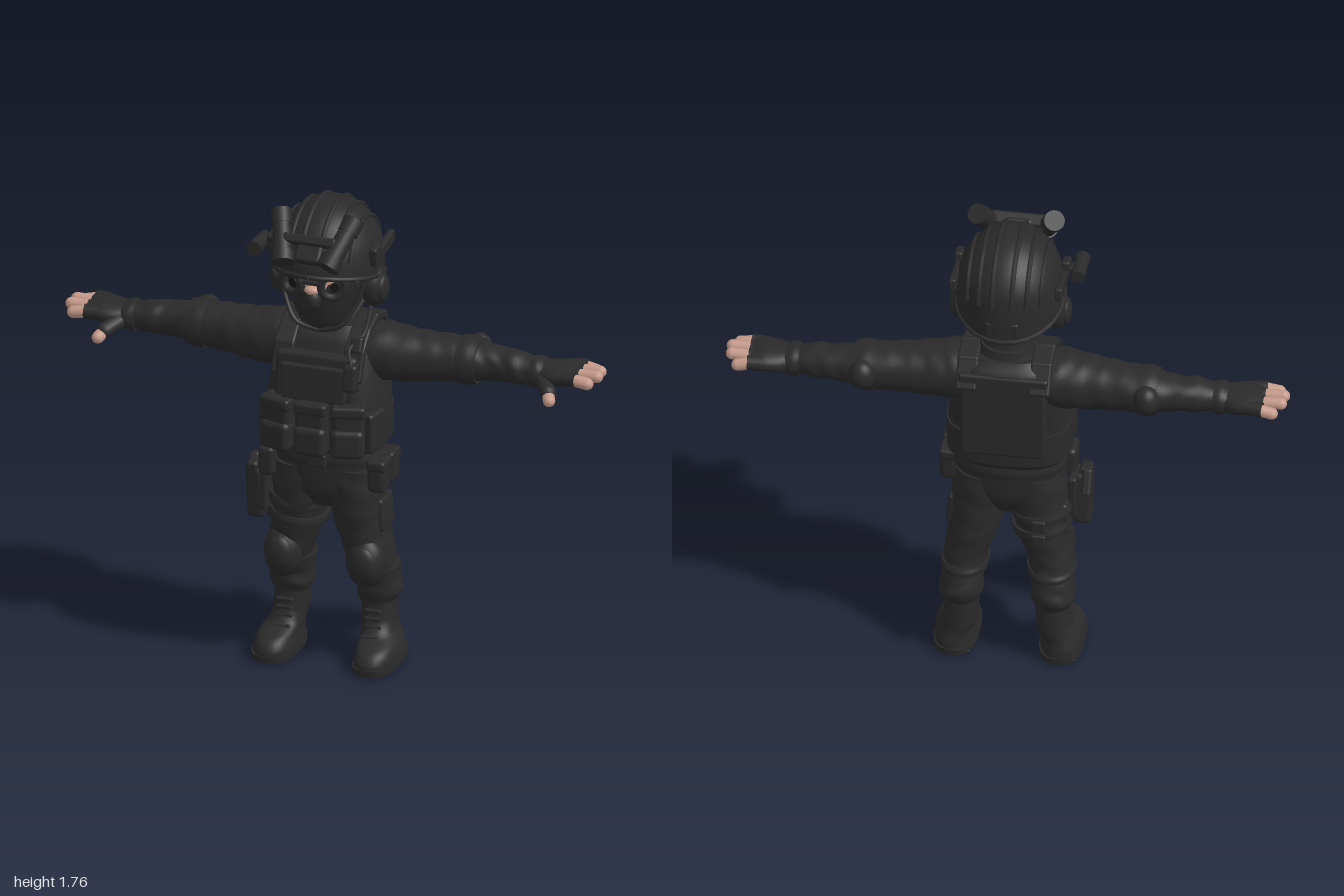
import * as THREE from 'three';
import { mergeVertices } from 'three/addons/utils/BufferGeometryUtils.js';
import { RoundedBoxGeometry } from 'three/addons/geometries/RoundedBoxGeometry.js';

const V = (x, y, z) => new THREE.Vector3(x, y, z);
const paint = (name, color) => Object.assign(new THREE.MeshStandardMaterial({ color }), { name });

// Loft of superellipse rings. Rows: [t, centreA, centreB, radiusA, radiusB] along 'y' (A=x, B=z) or 'x' (A=y, B=z)
function loft(axis, rows, { n = 2.2, folds = 0, sides = 36, steps = 4 } = {}) {
  const pos = [], idx = [], rings = [];
  const mix = (i, s, k) => {
    const r = j => rows[Math.min(Math.max(j, 0), rows.length - 1)][k];
    if (k === 0) return r(i) + (r(i + 1) - r(i)) * s;
    const m0 = (r(i + 1) - r(i - 1)) / 2, m1 = (r(i + 2) - r(i)) / 2, s2 = s * s, s3 = s2 * s;
    return (2 * s3 - 3 * s2 + 1) * r(i) + (s3 - 2 * s2 + s) * m0 + (3 * s2 - 2 * s3) * r(i + 1) + (s3 - s2) * m1;
  };
  for (let i = 0; i < rows.length - 1; i++)
    for (let s = 0; s < steps; s++) rings.push([0, 1, 2, 3, 4].map(k => mix(i, s / steps, k)));
  rings.push(rows[rows.length - 1]);
  const bend = v => Math.sign(v) * Math.abs(v) ** (2 / n);
  const ring = ([t, a, b, ra, rb]) => {
    for (let j = 0; j < sides; j++) {
      const q = j / sides * Math.PI * 2, f = 1 + folds * Math.sin(t * 75 + 2 * Math.sin(q * 2 + t * 9));
      const c = bend(Math.cos(q)) * f, s = bend(Math.sin(q)) * f;
      if (axis === 'y') pos.push(a + ra * c, t, b + rb * s);
      else pos.push(t, a + ra * s, b + rb * c);
    }
  };
  rings.forEach(ring);
  for (let i = 0; i < rings.length - 1; i++)
    for (let j = 0; j < sides; j++) {
      const k = (j + 1) % sides, a = i * sides + j, b = i * sides + k, c = a + sides, d = b + sides;
      idx.push(a, c, b, b, c, d);
    }
  // End caps with their own corners, so the ends stay crisp
  [rings[0], rings[rings.length - 1]].forEach((r, end) => {
    const o = pos.length / 3;
    ring(r);
    pos.push(...(axis === 'y' ? [r[1], r[0], r[2]] : [r[0], r[1], r[2]]));
    for (let j = 0; j < sides; j++) {
      const k = (j + 1) % sides;
      idx.push(o + sides, o + (end ? k : j), o + (end ? j : k));
    }
  });
  const g = new THREE.BufferGeometry();
  g.setAttribute('position', new THREE.Float32BufferAttribute(pos, 3));
  g.setIndex(idx);
  g.computeVertexNormals();
  return g;
}
const place = (g, x, y, z, rx = 0, ry = 0, rz = 0) =>
  g.applyMatrix4(new THREE.Matrix4().makeRotationFromEuler(new THREE.Euler(rx, ry, rz)).setPosition(x, y, z));
const box = (w, h, d, x, y, z, rx, ry, rz) =>
  place(new RoundedBoxGeometry(w, h, d, 3, Math.min(w, h, d) * 0.3), x, y, z, rx, ry, rz);
const ball = (rx, ry, rz, x, y, z) => new THREE.SphereGeometry(1, 24, 16).scale(rx, ry, rz).translate(x, y, z);
const along = (g, a, b) => {
  const q = new THREE.Quaternion().setFromUnitVectors(V(0, 1, 0), b.clone().sub(a).normalize());
  return g.applyQuaternion(q).translate(...a.clone().add(b).multiplyScalar(0.5).toArray());
};
const capsule = (a, b, r) => along(new THREE.CapsuleGeometry(r, a.distanceTo(b), 6, 14), a, b);
const rod = (a, b, r, r2 = r) => along(new THREE.CylinderGeometry(r2, r, a.distanceTo(b), 20), a, b);
const cord = (pts, r) => new THREE.TubeGeometry(new THREE.CatmullRomCurve3(pts), 28, r, 8);

function mirrored(geo) {
  const g = geo.index ? geo.clone() : mergeVertices(geo);
  g.scale(-1, 1, 1);
  const a = g.index.array;
  for (let i = 0; i < a.length; i += 3) [a[i], a[i + 1]] = [a[i + 1], a[i]];
  return g;
}

export function createModel() {
  const root = new THREE.Group();
  root.name = 'tacticalFigure';
  const black = paint('blackCloth', 0x2a2a2a), skin = paint('skin', 0xc49a8a), dark = paint('darkLens', 0x161616);
  const shell = paint('helmetBlack', 0x2a2a2a);
  shell.side = THREE.DoubleSide;
  const add = (name, geo, mat = black) => {
    const m = new THREE.Mesh(geo, mat);
    m.name = name;
    root.add(m);
  };
  const pair = (name, geo, mat) => { add(name + 'Left', geo, mat); add(name + 'Right', mirrored(geo), mat); };

  // Head in a balaclava with the eye opening
  add('head', loft('y', [[1.29, 0, 0.02, 0.055, 0.06], [1.33, 0, 0.01, 0.09, 0.105], [1.4, 0, 0, 0.12, 0.137],
    [1.5, 0, -0.01, 0.148, 0.155], [1.62, 0, -0.02, 0.14, 0.15]]));
  add('eyeOpening', new THREE.CylinderGeometry(1, 0.97, 0.065, 28, 1, true, -0.85, 1.7)
    .scale(0.152, 1, 0.16).translate(0, 1.493, -0.01), skin);
  add('maskNose', ball(0.03, 0.04, 0.03, 0, 1.43, 0.14));
  add('noseBridge', ball(0.026, 0.016, 0.02, 0, 1.472, 0.152), skin);
  pair('goggleRim', place(new THREE.TorusGeometry(0.042, 0.014, 10, 28), 0.075, 1.493, 0.143, 0, 0.42));
  pair('eye', place(new THREE.CylinderGeometry(0.017, 0.017, 0.006, 16), 0.078, 1.485, 0.132, Math.PI / 2, 0, -0.45), dark);
  pair('goggleArm', box(0.012, 0.03, 0.13, 0.142, 1.5, 0.06, 0, 0.22));
  add('goggleBridge', box(0.07, 0.016, 0.02, 0, 1.505, 0.16));

  // Helmet shell, its rim dipping toward the sides and back
  const cz = -0.035, hy = 1.53, R = V(0.19, 0.222, 0.222);
  const helmet = new THREE.SphereGeometry(1, 48, 24, 0, Math.PI * 2, 0, Math.PI / 2);
  const p = helmet.attributes.position;
  for (let i = 0; i < p.count; i++) {
    const x = p.getX(i), y = p.getY(i), z = p.getZ(i), drop = 0.045 - 0.05 * z;
    const low = Math.max(0, 1 - y * 2.5);
    p.setXYZ(i, x * R.x, hy + y * R.y - drop * low * low, cz + z * R.z);
  }
  helmet.computeVertexNormals();
  add('helmetShell', helmet, shell);
  const onHelmet = (x, a, k = 1) => {
    const s = Math.sqrt(1 - (x / R.x) ** 2);
    return V(x, hy + Math.sin(a) * R.y * s * k, cz + Math.cos(a) * R.z * s * k);
  };
  const arc = (x, a0, a1) => Array.from({ length: 12 }, (_, i) => onHelmet(x, a0 + (a1 - a0) * i / 11));
  for (const x of [0.035, 0.085, 0.13]) pair('helmetRib', cord(arc(x, 0.3, 2.95), 0.009));
  add('helmetRim', cord(Array.from({ length: 33 }, (_, i) => {
    const q = i / 32 * Math.PI * 2;
    return V(Math.sin(q) * R.x, hy - 0.045 + 0.05 * Math.cos(q), cz + Math.cos(q) * R.z);
  }), 0.009));
  pair('helmetRail', box(0.025, 0.045, 0.2, 0.188, 1.575, -0.06, 0.15));
  pair('railClamp', box(0.03, 0.055, 0.06, 0.19, 1.59, 0.02, 0.15));
  add('helmetDial', box(0.12, 0.06, 0.03, 0, 1.48, -0.238));
  add('helmetLamp', rod(V(-0.235, 1.575, -0.02), V(-0.235, 1.575, 0.1), 0.024, 0.028));
  add('lampMount', box(0.06, 0.03, 0.04, -0.205, 1.575, 0.03));

  // Raised night vision pods
  add('visionMount', box(0.1, 0.1, 0.05, 0, 1.63, 0.165, -0.6));
  add('visionBridge', box(0.2, 0.035, 0.05, 0, 1.665, 0.165, -0.6));
  pair('visionPod', rod(V(0.085, 1.602, 0.215), V(0.135, 1.73, 0.09), 0.036, 0.032));
  pair('visionPodRing', rod(V(0.083, 1.595, 0.222), V(0.093, 1.622, 0.196), 0.042, 0.042));
  pair('visionPodEnd', rod(V(0.122, 1.695, 0.123), V(0.137, 1.733, 0.086), 0.037, 0.037));

  // Ear cups, chin straps and collar
  pair('earCup', ball(0.045, 0.078, 0.062, 0.165, 1.443, -0.035));
  pair('earCupCover', ball(0.02, 0.052, 0.042, 0.198, 1.435, -0.035));
  pair('chinStrap', cord([V(0.16, 1.5, 0.04), V(0.132, 1.4, 0.06), V(0.08, 1.32, 0.09), V(0, 1.295, 0.085)], 0.009));
  pair('napeStrap', cord([V(0.16, 1.48, -0.15), V(0.13, 1.4, -0.1), V(0.1, 1.33, 0.03)], 0.009));
  add('neck', loft('y', [[1.2, 0, -0.08, 0.12, 0.11], [1.28, 0, -0.07, 0.105, 0.1], [1.33, 0, -0.055, 0.095, 0.092],
    [1.39, 0, -0.05, 0.09, 0.09]], { folds: 0.015 }));
  add('collar', loft('y', [[1.24, 0, -0.075, 0.13, 0.115], [1.28, 0, -0.07, 0.112, 0.105], [1.32, 0, -0.065, 0.1, 0.1]]));

  // Torso and armour vest
  add('vest', loft('y', [[0.835, 0, -0.04, 0.2, 0.145], [0.86, 0, -0.037, 0.213, 0.16], [1.0, 0, -0.035, 0.215, 0.16],
    [1.1, 0, -0.05, 0.205, 0.16], [1.19, 0, -0.07, 0.2, 0.148], [1.25, 0, -0.08, 0.185, 0.135],
    [1.29, 0, -0.08, 0.135, 0.1]], { n: 2.8 }));
  add('chestPlate', box(0.3, 0.24, 0.06, 0, 1.09, 0.095, -0.1));
  add('chestPocket', box(0.24, 0.12, 0.035, 0, 1.1, 0.125, -0.1));
  add('pocketFlap', box(0.25, 0.035, 0.03, 0, 1.155, 0.122, -0.1));
  add('backPlate', box(0.3, 0.34, 0.04, 0, 1.08, -0.2));
  add('backYoke', box(0.32, 0.06, 0.04, 0, 1.22, -0.2));
  add('waistBand', loft('y', [[0.86, 0, -0.037, 0.22, 0.166], [0.92, 0, -0.035, 0.222, 0.168],
    [0.98, 0, -0.035, 0.222, 0.167]], { n: 2.8 }));
  for (const x of [-0.13, 0, 0.13]) {
    add('magazinePouch', box(0.115, 0.18, 0.07, x, 0.95, 0.145 - Math.abs(x) * 0.1, 0, x * 2));
    add('pouchBase', box(0.12, 0.11, 0.075, x, 0.905, 0.158 - Math.abs(x) * 0.12, 0, x * 2));
    add('pouchFlap', box(0.122, 0.045, 0.08, x, 1.025, 0.145 - Math.abs(x) * 0.1, 0, x * 2));
  }
  pair('sidePouch', box(0.05, 0.15, 0.1, 0.195, 0.93, 0.06, 0, -0.2));
  // Shoulder straps from chest over to the back
  const path = [[1.13, 0.1], [1.22, 0.065], [1.275, 0], [1.3, -0.08], [1.28, -0.16], [1.2, -0.215]];
  for (let i = 0; i < path.length - 1; i++) {
    const [y0, z0] = path[i], [y1, z1] = path[i + 1];
    pair('shoulderStrap', box(0.075, 0.03, Math.hypot(y1 - y0, z1 - z0) + 0.025, 0.13, (y0 + y1) / 2, (z0 + z1) / 2,
      -Math.atan2(y1 - y0, z1 - z0)));
  }
  add('radio', box(0.05, 0.1, 0.045, 0.135, 1.145, 0.125, -0.15));
  add('radioTop', box(0.045, 0.06, 0.035, 0.14, 1.25, 0.07, -0.4));
  add('radioCable', cord([V(0.135, 1.19, 0.12), V(0.12, 1.24, 0.1), V(0.15, 1.28, 0.03), V(0.16, 1.38, -0.03)], 0.007));

  // Sleeves, elbow pads and gloves
  pair('sleeve', loft('x', [[0.12, 1.19, -0.08, 0.09, 0.11], [0.2, 1.18, -0.08, 0.1, 0.112], [0.3, 1.175, -0.085, 0.092, 0.1],
    [0.4, 1.177, -0.095, 0.082, 0.092], [0.5, 1.177, -0.105, 0.078, 0.088], [0.56, 1.177, -0.107, 0.066, 0.076],
    [0.62, 1.177, -0.107, 0.058, 0.066], [0.67, 1.175, -0.102, 0.06, 0.066], [0.72, 1.172, -0.1, 0.05, 0.058],
    [0.77, 1.17, -0.1, 0.043, 0.054]], { folds: 0.03 }));
  pair('elbowPad', ball(0.046, 0.055, 0.045, 0.505, 1.19, -0.188));
  pair('elbowStrap', loft('x', [[0.468, 1.177, -0.105, 0.084, 0.094], [0.505, 1.177, -0.105, 0.086, 0.095],
    [0.54, 1.177, -0.105, 0.078, 0.088]]));
  pair('gloveCuff', loft('x', [[0.735, 1.171, -0.1, 0.054, 0.062], [0.76, 1.171, -0.1, 0.056, 0.066], [0.785, 1.171, -0.1, 0.046, 0.062]]));
  pair('glove', loft('x', [[0.76, 1.17, -0.1, 0.043, 0.056], [0.81, 1.173, -0.1, 0.042, 0.078], [0.86, 1.18, -0.103, 0.038, 0.085],
    [0.905, 1.182, -0.105, 0.028, 0.08]]));
  const tips = [[-0.172, 0.948, 1.172], [-0.13, 0.974, 1.188], [-0.083, 0.978, 1.188], [-0.04, 0.957, 1.175]];
  for (const [z, x, y] of tips) {
    pair('gloveFinger', rod(V(0.86, 1.182, z * 0.9 - 0.01), V(0.915, 1.184, z), 0.027, 0.026));
    pair('finger', capsule(V(0.89, 1.185, z), V(x, y, z), 0.022), skin);
  }
  pair('gloveThumb', capsule(V(0.79, 1.16, -0.05), V(0.825, 1.14, 0), 0.029));
  pair('thumb', capsule(V(0.825, 1.14, 0.0), V(0.84, 1.122, 0.03), 0.022), skin);

  // Hips, belt and belt gear
  add('hips', loft('y', [[0.61, 0, -0.04, 0.07, 0.09], [0.67, 0, -0.04, 0.16, 0.118], [0.74, 0, -0.04, 0.192, 0.125],
    [0.85, 0, -0.04, 0.19, 0.125]]));
  add('belt', loft('y', [[0.775, 0, -0.04, 0.2, 0.134], [0.8, 0, -0.04, 0.205, 0.138], [0.83, 0, -0.04, 0.2, 0.134]]));
  add('beltBuckle', box(0.07, 0.05, 0.025, 0, 0.802, 0.098));
  for (const z of [0.045, -0.05]) {
    add('hipPouch', box(0.065, 0.115, 0.085, 0.212, 0.755, z));
    add('hipPouchFlap', box(0.07, 0.04, 0.09, 0.212, 0.8, z));
  }
  add('hipPouchRight', box(0.06, 0.11, 0.1, -0.2, 0.76, 0.03));
  add('holster', box(0.065, 0.2, 0.085, -0.255, 0.62, 0, 0.1));
  add('holsterPlate', box(0.03, 0.17, 0.11, -0.222, 0.64, -0.01));
  add('pistolGrip', box(0.035, 0.1, 0.045, -0.272, 0.7, -0.035, 0.5));
  add('pistolSlide', box(0.045, 0.06, 0.07, -0.262, 0.71, 0.015, 0.1));
  for (const y of [0.54, 0.6]) {
    const strap = loft('y', [[-0.018, 0, 0, 0.104, 0.122], [0, 0, 0, 0.107, 0.125], [0.018, 0, 0, 0.104, 0.122]]);
    add('thighStrap', place(strap, -0.117, y, -0.05, 0, 0, -0.15));
    add('strapBuckle', box(0.05, 0.045, 0.025, -0.12, y - 0.01, -0.172));
  }

  // Trousers and knee pads
  pair('trouserLeg', loft('y', [[0.225, 0.16, -0.105, 0.066, 0.078], [0.26, 0.163, -0.107, 0.078, 0.094],
    [0.31, 0.16, -0.1, 0.076, 0.092], [0.4, 0.15, -0.06, 0.08, 0.108], [0.5, 0.125, -0.055, 0.09, 0.113],
    [0.6, 0.11, -0.045, 0.097, 0.118], [0.7, 0.1, -0.04, 0.102, 0.12], [0.76, 0.095, -0.04, 0.098, 0.118]], { folds: 0.025 }));
  pair('kneePad', ball(0.07, 0.095, 0.06, 0.153, 0.405, 0.02));
  pair('kneeShield', ball(0.05, 0.065, 0.03, 0.155, 0.41, 0.057));
  pair('kneeStrap', loft('y', [[0.345, 0.154, -0.08, 0.083, 0.106], [0.36, 0.154, -0.078, 0.086, 0.108], [0.375, 0.152, -0.07, 0.084, 0.108]]));
  pair('cargoPocket', box(0.04, 0.12, 0.12, 0.195, 0.58, -0.05, 0, 0, 0.08));

  // Boots
  pair('boot', loft('y', [[0.02, 0.187, -0.035, 0.076, 0.15], [0.05, 0.187, -0.036, 0.077, 0.149], [0.085, 0.184, -0.048, 0.07, 0.132],
    [0.115, 0.172, -0.088, 0.062, 0.092], [0.16, 0.164, -0.103, 0.06, 0.078], [0.25, 0.16, -0.105, 0.062, 0.074]], { n: 2.4, folds: 0.008 }));
  pair('sole', loft('y', [[0.008, 0.187, -0.035, 0.078, 0.153], [0.032, 0.187, -0.035, 0.079, 0.155]], { n: 2.6 }));
  for (const z of [-0.15, -0.11, -0.02, 0.02, 0.06])
    pair('soleTread', box(0.12, 0.016, 0.024, 0.187, 0.008, z));
  for (const y of [0.11, 0.14, 0.17, 0.2])
    pair('bootLace', box(0.06, 0.012, 0.016, 0.165, y, y < 0.12 ? 0.005 : -0.024));
  return root;
}
